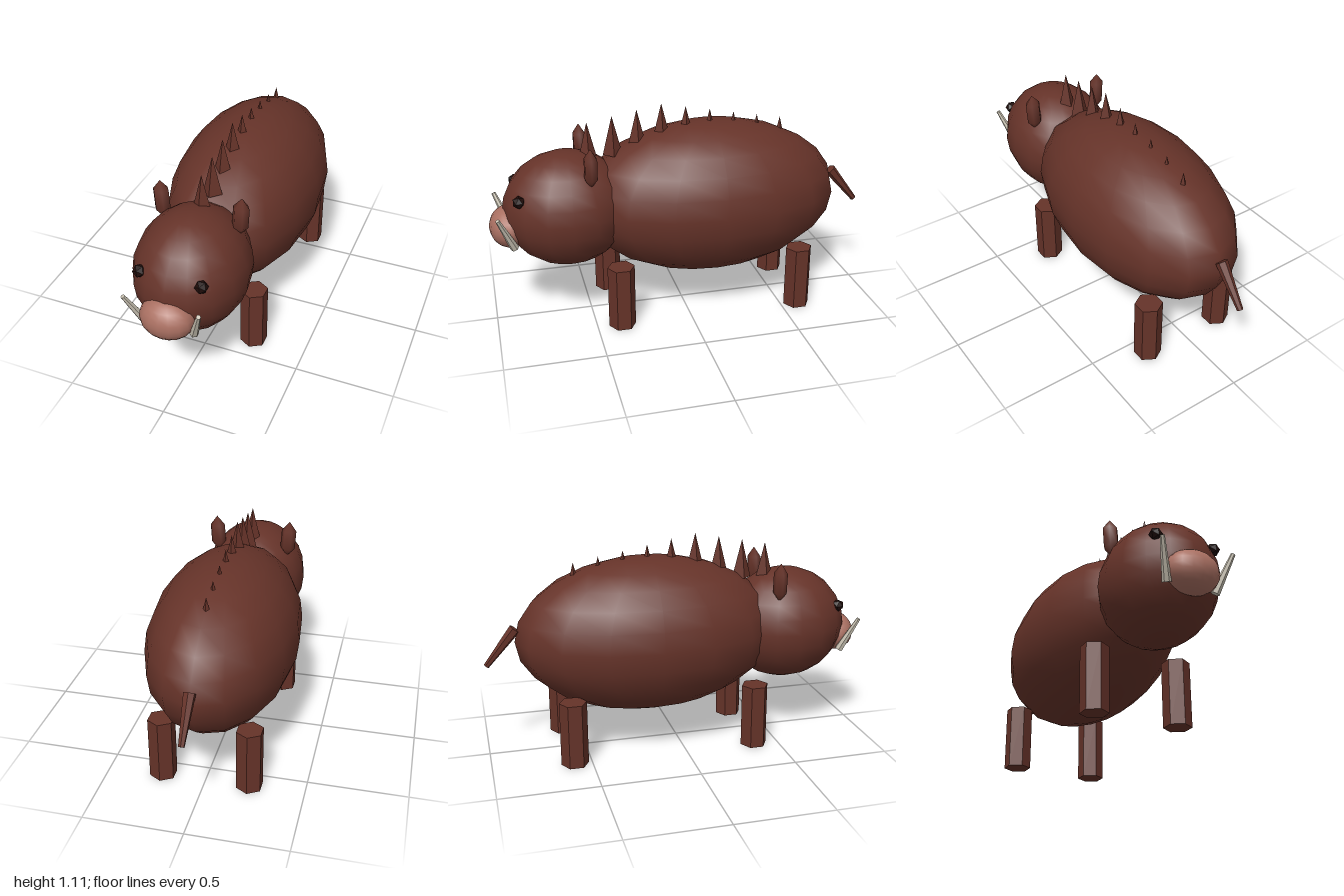
import * as THREE from 'three';

function material(name, color, flatShading = false) {
  const m = new THREE.MeshStandardMaterial({ color, flatShading });
  m.name = name;
  return m;
}

export function createModel() {
  const boar = new THREE.Group();
  boar.name = 'boar';
  const hide = material('brown hide', 0x663329);
  const pink = material('pink snout', 0xaa7062);
  const ivory = material('ivory tusk', 0xccc5b5);
  const dark = material('dark eye', 0x200d0a);
  hide.flatShading = false;
  dark.flatShading = true;

  const add = (name, geometry, mat, x, y, z) => {
    const mesh = new THREE.Mesh(geometry, mat);
    mesh.name = name;
    mesh.position.set(x, y, z);
    boar.add(mesh);
    return mesh;
  };
  const ellipsoid = (rx, ry, rz, ws, hs) =>
    new THREE.SphereGeometry(1, ws, hs).scale(rx, ry, rz);
  // Unshared corners give each face its own normal
  const faceted = (geometry) => {
    const g = geometry.toNonIndexed();
    g.computeVertexNormals();
    return g;
  };
  // Tapered rod between two points
  const rod = (name, a, b, ra, rb, mat) => {
    const from = new THREE.Vector3(...a), to = new THREE.Vector3(...b);
    const dir = to.clone().sub(from);
    const mid = from.clone().add(to).multiplyScalar(0.5);
    const mesh = add(name, faceted(new THREE.CylinderGeometry(rb, ra, dir.length(), 6)),
      mat, mid.x, mid.y, mid.z);
    mesh.quaternion.setFromUnitVectors(new THREE.Vector3(0, 1, 0), dir.normalize());
  };

  // Body, head and snout
  add('body', ellipsoid(0.38, 0.405, 0.69, 16, 12), hide, 0, 0.6, -0.15);
  add('head', ellipsoid(0.28, 0.3, 0.33, 16, 12), hide, 0, 0.6, 0.6);
  add('snout', ellipsoid(0.133, 0.105, 0.1, 16, 12), pink, 0, 0.525, 0.9);

  // Paired features
  for (const [side, s] of [['left', 1], ['right', -1]]) {
    const ear = add(side + 'Ear', ellipsoid(0.047, 0.103, 0.04, 6, 3), hide, s * 0.2, 0.868, 0.5);
    ear.rotation.z = -s * 0.06;
    add(side + 'Eye', new THREE.IcosahedronGeometry(0.033, 0), dark, s * 0.153, 0.71, 0.85);
    rod(side + 'Tusk', [s * 0.125, 0.455, 0.885], [s * 0.185, 0.637, 0.96], 0.022, 0.011, ivory);
    for (const [end, z] of [['Front', 0.37], ['Rear', -0.587]]) {
      add(side + end + 'Leg', faceted(new THREE.CylinderGeometry(0.07, 0.07, 0.335, 6)),
        hide, s * 0.222, 0.1675, z);
    }
  }

  // Row of bristles, tallest over the shoulders
  for (let i = 0; i < 9; i++) {
    const tip = 1.11 - 0.0235 * Math.abs(i - 3);
    add('bristle' + (i + 1), faceted(new THREE.ConeGeometry(0.05, 0.2, 4)),
      hide, 0, tip - 0.1, 0.485 - 0.127 * i);
  }

  rod('tail', [0, 0.67, -0.835], [0, 0.485, -0.987], 0.03, 0.015, hide);
  return boar;
}
